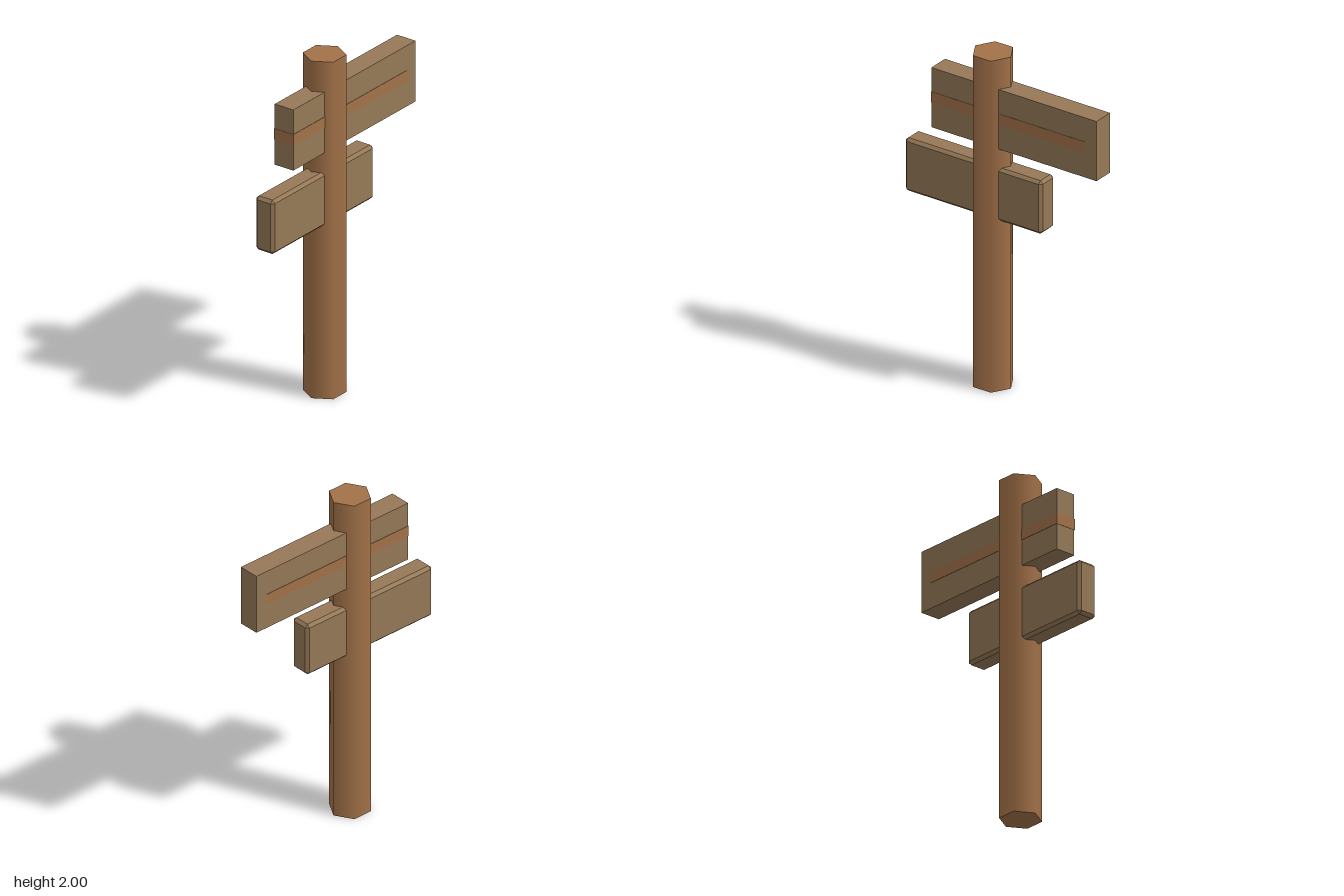
import * as THREE from 'three';
import { ConvexGeometry } from 'three/addons/geometries/ConvexGeometry.js';

const wood = new THREE.MeshStandardMaterial({ color: 0xa37249 });
wood.name = 'warm post wood';
const plank = new THREE.MeshStandardMaterial({ color: 0x967957 });
plank.name = 'weathered plank wood';

function add(parent, name, geometry, material, x, y, z) {
  const mesh = new THREE.Mesh(geometry, material);
  mesh.name = name;
  mesh.position.set(x, y, z);
  parent.add(mesh);
  return mesh;
}

// Box with every edge cut by a flat chamfer c
function chamferedBox(w, h, d, c) {
  const points = [];
  for (const sx of [-1, 1]) for (const sy of [-1, 1]) for (const sz of [-1, 1]) {
    const x = w / 2, y = h / 2, z = d / 2;
    points.push(
      new THREE.Vector3(sx * x, sy * (y - c), sz * (z - c)),
      new THREE.Vector3(sx * (x - c), sy * y, sz * (z - c)),
      new THREE.Vector3(sx * (x - c), sy * (y - c), sz * z)
    );
  }
  return new ConvexGeometry(points);
}

export function createModel() {
  const group = new THREE.Group();
  group.name = 'signpost';

  // Six-sided post with softly shaded sides, corners pointing left and right
  const post = new THREE.CylinderGeometry(0.118, 0.118, 2, 6, 1, false, Math.PI / 2);
  add(group, 'post', post, wood, -0.093, 1, 0);

  // Upper board, square edged
  const upper = new THREE.Group();
  upper.name = 'upperSign';
  group.add(upper);
  const left = -0.455, right = 0.635, depth = 0.125;
  add(upper, 'upperBoard', new THREE.BoxGeometry(right - left, 0.36, depth),
    plank, (left + right) / 2, 1.64, 0);

  // Painted stripe on both faces, wrapping round the short end
  const stripeEnd = 0.56, stripeHeight = 0.065, stripeY = 1.642, t = 0.004;
  for (const s of [-1, 1]) {
    add(upper, s > 0 ? 'frontStripe' : 'backStripe',
      new THREE.BoxGeometry(stripeEnd - left, stripeHeight, t),
      wood, (left + stripeEnd) / 2, stripeY, s * depth / 2);
  }
  add(upper, 'endStripe', new THREE.BoxGeometry(t, stripeHeight, depth + t),
    wood, left, stripeY, 0);

  // Lower board, chamfered on all edges
  add(group, 'lowerBoard', chamferedBox(0.905, 0.32, 0.125, 0.017), plank, -0.183, 1.182, 0);

  return group;
}
